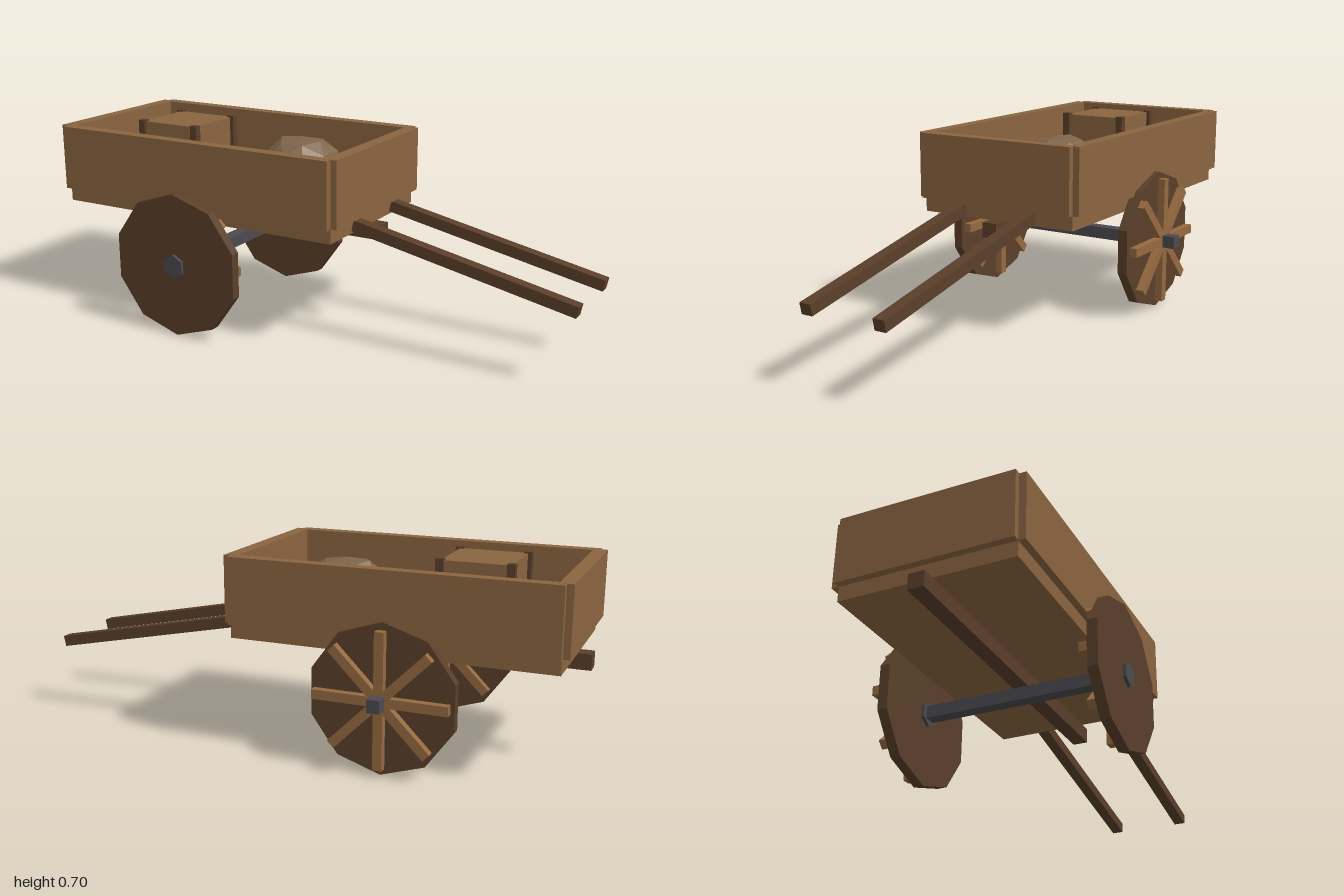
import * as THREE from 'three';

const mat = (color) => new THREE.MeshStandardMaterial({ color, flatShading: true });

export function createModel() {
  const cart = new THREE.Group();
  cart.name = 'handCart';
  const wood = mat(0x8b6540), darkWood = mat(0x5a3f2a), iron = mat(0x4a4a50);
  const spokeWood = mat(0x966a40), burlap = mat(0x7d654a);

  const add = (name, geometry, material, x, y, z, parent = cart) => {
    const mesh = new THREE.Mesh(geometry, material);
    mesh.name = name;
    mesh.position.set(x, y, z);
    parent.add(mesh);
    return mesh;
  };
  // Box given by its limits on each axis
  const span = (name, material, [x0, x1], [y0, y1], [z0, z1]) =>
    add(name, new THREE.BoxGeometry(x1 - x0, y1 - y0, z1 - z0), material,
      (x0 + x1) / 2, (y0 + y1) / 2, (z0 + z1) / 2);

  // Bed: centre beam, floor and four walls
  span('centreBeam', darkWood, [-1, 0.23], [0.345, 0.4], [-0.028, 0.028]);
  span('floor', wood, [-0.953, 0.185], [0.4, 0.455], [-0.308, 0.308]);
  for (const s of [1, -1]) {
    add('sideWall', new THREE.BoxGeometry(1.14, 0.237, 0.045), wood, -0.385, 0.571, s * 0.31);
    add('endWall', new THREE.BoxGeometry(0.048, 0.237, 0.616), wood, -0.385 + s * 0.569, 0.5715, 0);
    // Sloping pull handles
    const handle = add('handle', new THREE.BoxGeometry(0.82, 0.04, 0.043), darkWood, 0.592, 0.347, s * 0.143);
    handle.rotation.z = -0.203;
  }

  // Axle and wheels; both wheels face the same way
  const axleX = -0.385, axleY = 0.2615;
  add('axle', new THREE.BoxGeometry(0.045, 0.045, 0.86), iron, axleX, axleY, 0);
  for (const z of [0.403, -0.332]) {
    const wheel = new THREE.Group();
    wheel.name = 'wheel';
    wheel.position.set(axleX, axleY, z);
    cart.add(wheel);
    const disc = add('wheelDisc', new THREE.CylinderGeometry(0.2615, 0.2615, 0.036, 10), darkWood, 0, 0, 0, wheel);
    const hub = add('hub', new THREE.CylinderGeometry(0.044, 0.044, 0.06, 6), iron, 0, 0, -0.001, wheel);
    disc.rotation.x = hub.rotation.x = Math.PI / 2;
    for (let i = 0; i < 4; i++) {
      const spoke = add('spokeBar', new THREE.BoxGeometry(0.033, 0.472, 0.028), spokeWood, 0, 0, -0.037, wheel);
      spoke.rotation.z = i * Math.PI / 4;
    }
  }

  // Crate with corner posts
  span('crate', wood, [-0.743, -0.502], [0.455, 0.694], [-0.121, 0.118]);
  for (const x of [-0.743, -0.502])
    for (const z of [-0.121, 0.118])
      add('cratePost', new THREE.BoxGeometry(0.027, 0.245, 0.027), darkWood, x, 0.5775, z);

  // Lumpy sack: sphere of flat facets, each corner pushed by a smooth rule
  const lump = new THREE.IcosahedronGeometry(1, 1);
  const p = lump.attributes.position, v = new THREE.Vector3();
  for (let i = 0; i < p.count; i++) {
    v.fromBufferAttribute(p, i);
    v.multiplyScalar(1 + 0.06 * Math.sin(5 * v.x + 3 * v.z + 1) * Math.cos(4 * v.y - 3 * v.z));
    p.setXYZ(i, v.x * 0.15, v.y * 0.11, v.z * 0.147);
  }
  lump.computeVertexNormals();
  add('sack', lump, burlap, -0.145, 0.56, -0.055);

  return cart;
}
